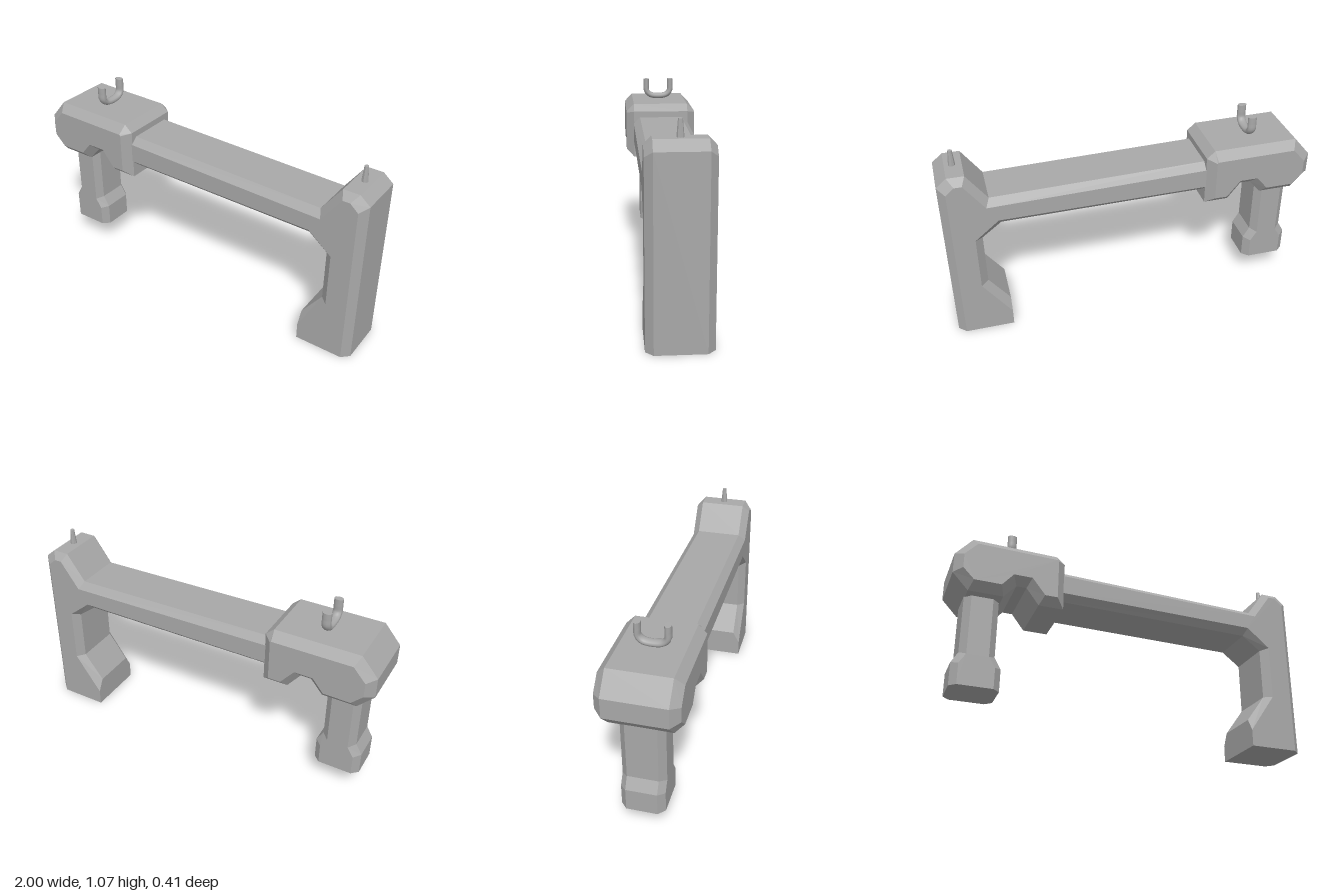
import * as THREE from 'three';

// Solid slab with bevelled flanks: outer outline out to z = ±h, inner outline at z = ±d
// (both counter-clockwise, with matching points)
function bevelSlab(outer, inner, h, d) {
  const layers = [[inner, -d], [outer, -h], [outer, h], [inner, d]];
  const pos = [];
  const n = outer.length;
  const put = (k, i) => pos.push(layers[k][0][i][0], layers[k][0][i][1], layers[k][1]);
  for (let k = 0; k < 3; k++) {
    for (let i = 0; i < n; i++) {
      const j = (i + 1) % n;
      put(k, i); put(k, j); put(k + 1, j);
      put(k, i); put(k + 1, j); put(k + 1, i);
    }
  }
  const contour = inner.map(([x, y]) => new THREE.Vector2(x, y));
  for (const [a, b, c] of THREE.ShapeUtils.triangulateShape(contour, [])) {
    put(3, a); put(3, b); put(3, c);
    put(0, c); put(0, b); put(0, a);
  }
  const g = new THREE.BufferGeometry();
  g.setAttribute('position', new THREE.Float32BufferAttribute(pos, 3));
  g.computeVertexNormals();
  return g;
}

export function createModel() {
  const model = new THREE.Group();
  const grey = new THREE.MeshStandardMaterial({ color: 0xa8a8a8 });
  grey.name = 'grey';
  const add = (name, geometry, parent = model) => {
    const mesh = new THREE.Mesh(geometry, grey);
    mesh.name = name;
    parent.add(mesh);
    return mesh;
  };

  // Tall end column with foot, joined to the long beam
  add('columnAndBeam', bevelSlab(
    [[1, 0], [1, 0.94], [0.945, 0.987], [0.855, 0.987], [0.75, 0.84], [-0.45, 0.866],
      [-0.45, 0.69], [0.7, 0.68], [0.805, 0.6], [0.805, 0.31], [0.695, 0.16], [0.695, 0]],
    [[0.96, 0], [0.96, 0.91], [0.915, 0.95], [0.875, 0.95], [0.77, 0.803], [-0.45, 0.83],
      [-0.45, 0.725], [0.715, 0.717], [0.845, 0.61], [0.845, 0.305], [0.695, 0.09], [0.695, 0]],
    0.125, 0.163));

  // Wide housing with a notch underneath
  add('housing', bevelSlab(
    [[-1, 0.84], [-1, 0.73], [-0.915, 0.64], [-0.73, 0.64], [-0.665, 0.715], [-0.61, 0.715],
      [-0.54, 0.625], [-0.405, 0.625], [-0.405, 0.9], [-0.45, 0.94], [-0.91, 0.945]],
    [[-0.955, 0.825], [-0.955, 0.745], [-0.895, 0.685], [-0.75, 0.685], [-0.69, 0.757], [-0.59, 0.757],
      [-0.518, 0.668], [-0.45, 0.668], [-0.45, 0.888], [-0.456, 0.895], [-0.888, 0.9]],
    0.16, 0.205));

  // Handle with flared end
  add('grip', bevelSlab(
    [[-0.955, 0.14], [-0.7, 0.14], [-0.7, 0.265], [-0.735, 0.325], [-0.735, 0.7],
      [-0.92, 0.7], [-0.92, 0.325], [-0.955, 0.265]],
    [[-0.92, 0.14], [-0.735, 0.14], [-0.735, 0.255], [-0.77, 0.31], [-0.77, 0.7],
      [-0.885, 0.7], [-0.885, 0.31], [-0.92, 0.255]],
    0.08, 0.113));

  // U-shaped notch on top of the housing
  const notch = new THREE.Group();
  notch.name = 'notchSight';
  const r = 0.0175, top = 1.066;
  const path = new THREE.CatmullRomCurve3([
    [top, 0.074], [1.03, 0.074], [0.992, 0.072], [0.968, 0.05], [0.96, 0],
    [0.968, -0.05], [0.992, -0.072], [1.03, -0.074], [top, -0.074],
  ].map(([y, z]) => new THREE.Vector3(0, y, z)));
  add('notchTube', new THREE.TubeGeometry(path, 28, r, 10, false), notch);
  for (const s of [1, -1]) {
    const cap = new THREE.CircleGeometry(r, 10).rotateX(-Math.PI / 2).translate(0, top, s * 0.074);
    add(s > 0 ? 'leftNotchCap' : 'rightNotchCap', cap, notch);
  }
  notch.scale.x = 1.45;
  notch.position.x = -0.685;
  model.add(notch);

  // Tapered post on top of the column
  const post = new THREE.CylinderGeometry(0.011, 0.019, 0.095, 8).toNonIndexed();
  post.computeVertexNormals();
  add('postSight', post).position.set(0.905, 1.023, 0);

  return model;
}
